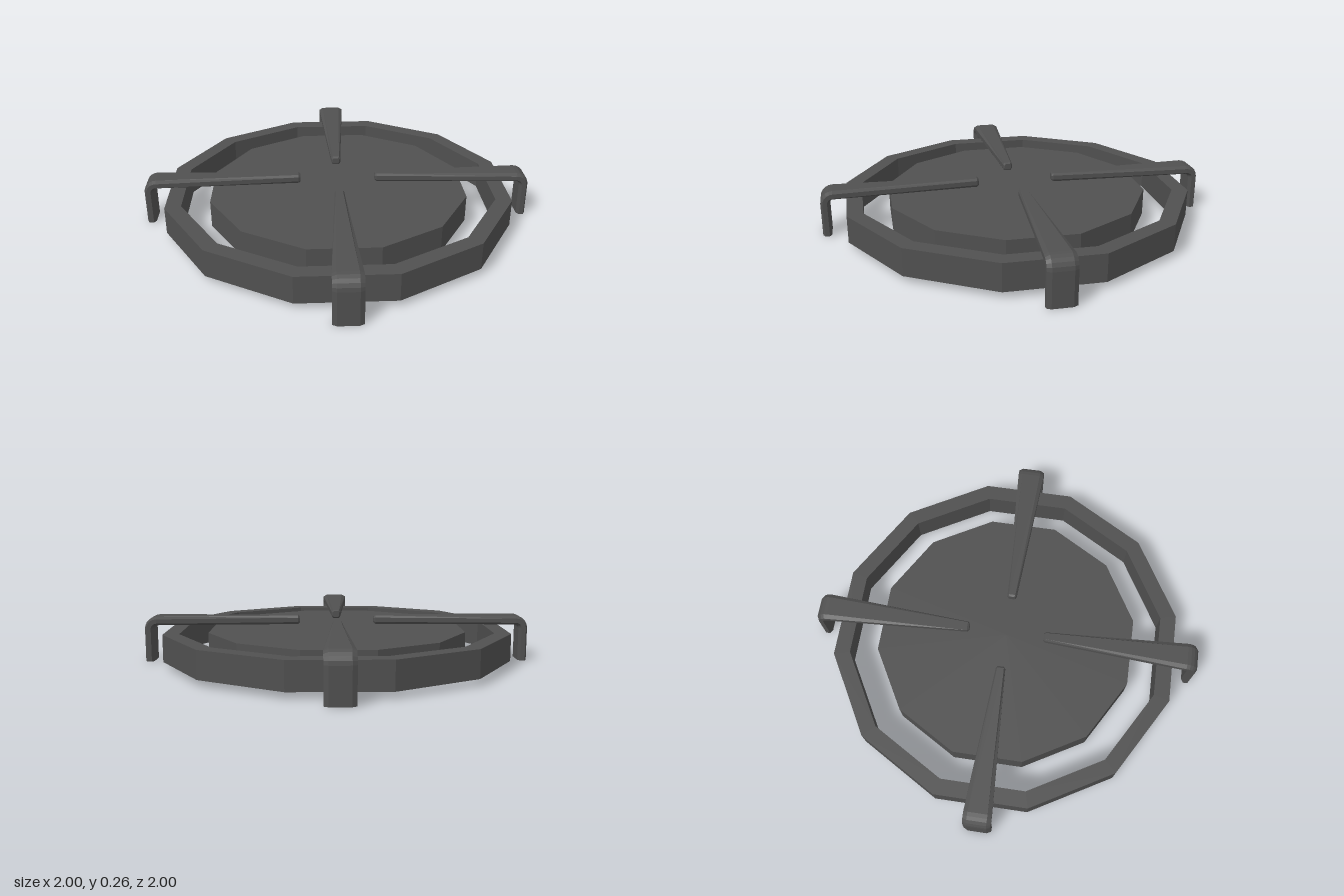
import * as THREE from 'three';

const SIDES = 12;
const BOTTOM = 0.035;
const HEIGHT = 0.153;

// Points of a regular polygon
function polygon(radius) {
  return Array.from({ length: SIDES }, (_, i) => {
    const a = (i / SIDES) * Math.PI * 2;
    return new THREE.Vector2(radius * Math.cos(a), radius * Math.sin(a));
  });
}

// Bent prong: a bevelled bar swept up the leg, round the bend and along the tapering arm.
// Local x is the radial direction, z the width.
function prongGeometry() {
  const legR = 1.083, armY = 0.235, bend = 0.045, half = 0.025;
  const wide = 0.077, narrow = 0.027;
  // Stations: centre, angle of the outward normal, half width, half thickness
  const stations = [{ x: legR, y: 0, a: 0, w: wide, t: half }];
  const steps = 5;
  for (let i = 0; i <= steps; i++) {
    const a = (i / steps) * Math.PI / 2;
    stations.push({
      x: legR - bend + bend * Math.cos(a),
      y: armY - bend + bend * Math.sin(a),
      a, w: wide, t: half,
    });
  }
  stations.push({ x: 0.226, y: armY, a: Math.PI / 2, w: narrow, t: half });
  stations.push({ x: 0.215, y: armY, a: Math.PI / 2, w: narrow * 0.7, t: half * 0.7 });

  const positions = [];
  const index = [];
  for (const { x, y, a, w, t } of stations) {
    const cw = w * 0.7, ct = t * 0.5;
    const section = [[w, -ct], [w, ct], [cw, t], [-cw, t], [-w, ct], [-w, -ct], [-cw, -t], [cw, -t]];
    for (const [u, n] of section) positions.push(x + n * Math.cos(a), y + n * Math.sin(a), u);
  }
  const last = (stations.length - 1) * 8;
  for (let s = 0; s < last; s += 8) {
    for (let j = 0; j < 8; j++) {
      const k = (j + 1) % 8;
      index.push(s + j, s + k, s + 8 + k, s + j, s + 8 + k, s + 8 + j);
    }
  }
  // End caps
  for (let j = 1; j < 7; j++) {
    index.push(0, j + 1, j);
    index.push(last, last + j, last + j + 1);
  }
  const indexed = new THREE.BufferGeometry();
  indexed.setAttribute('position', new THREE.Float32BufferAttribute(positions, 3));
  indexed.setIndex(index);
  const geometry = indexed.toNonIndexed();
  geometry.computeVertexNormals();
  return geometry;
}

export function createModel() {
  const model = new THREE.Group();
  model.name = 'burnerGrate';
  const material = new THREE.MeshStandardMaterial({ color: 0x505050, flatShading: true });

  // Central plate
  const plate = new THREE.Mesh(new THREE.CylinderGeometry(0.747, 0.747, HEIGHT, SIDES), material);
  plate.name = 'plate';
  plate.position.y = BOTTOM + HEIGHT / 2;
  model.add(plate);

  // Outer ring
  const shape = new THREE.Shape(polygon(1));
  shape.holes.push(new THREE.Path(polygon(0.908).reverse()));
  const ringGeometry = new THREE.ExtrudeGeometry(shape, { depth: HEIGHT, bevelEnabled: false });
  ringGeometry.rotateX(-Math.PI / 2);
  const ring = new THREE.Mesh(ringGeometry, material);
  ring.name = 'outerRing';
  ring.position.y = BOTTOM;
  model.add(ring);

  // Four prongs on the diagonals
  const prong = prongGeometry();
  ['backLeft', 'backRight', 'frontRight', 'frontLeft'].forEach((place, i) => {
    const mesh = new THREE.Mesh(prong, material);
    mesh.name = `${place}Prong`;
    mesh.rotation.y = Math.PI / 4 + i * Math.PI / 2;
    model.add(mesh);
  });

  return model;
}
